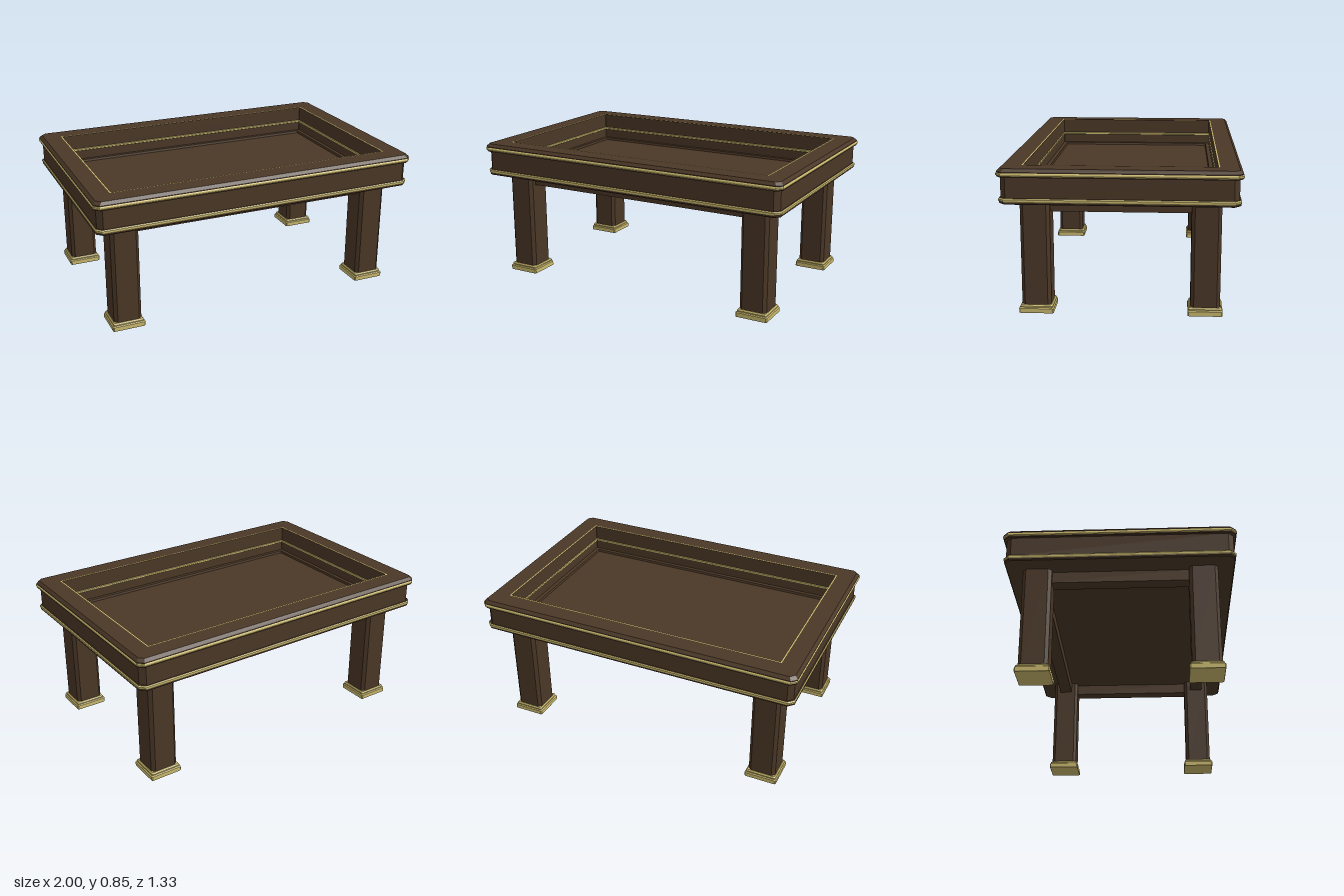
import * as THREE from 'three';

const wood = new THREE.MeshStandardMaterial({ color: 0x4a3726 });
wood.name = 'dark wood';
const brass = new THREE.MeshStandardMaterial({ color: 0xc9b86c });
brass.name = 'brass';

// Rectangle with cut corners, inset by m from half sizes hx, hz
function outline(hx, hz, [m, y, c]) {
  const x = hx - m, z = hz - m;
  return [
    [x, z - c], [x, c - z], [x - c, -z], [c - x, -z],
    [-x, c - z], [-x, z - c], [c - x, z], [x - c, z],
  ].map(([px, pz]) => [px, y, pz]);
}

// Joins layers [inset, height, corner cut] with flat faces; caps are optional
function loft(name, material, hx, hz, layers, capStart = false, capEnd = false) {
  const rings = layers.map((l) => outline(hx, hz, l));
  const pos = [];
  const tri = (a, b, c) => pos.push(...a, ...b, ...c);
  for (let k = 0; k < rings.length - 1; k++) {
    const a = rings[k], b = rings[k + 1];
    for (let i = 0; i < 8; i++) {
      const j = (i + 1) % 8;
      tri(a[i], a[j], b[j]);
      tri(a[i], b[j], b[i]);
    }
  }
  const first = rings[0], last = rings[rings.length - 1];
  for (let i = 1; i < 7; i++) {
    if (capStart) tri(first[0], first[i + 1], first[i]);
    if (capEnd) tri(last[0], last[i], last[i + 1]);
  }
  const geometry = new THREE.BufferGeometry();
  geometry.setAttribute('position', new THREE.Float32BufferAttribute(pos, 3));
  geometry.computeVertexNormals();
  const mesh = new THREE.Mesh(geometry, material);
  mesh.name = name;
  return mesh;
}

export function createModel() {
  const table = new THREE.Group();
  table.name = 'table';

  // Tabletop: one profile running up the outside, over the rim and down into the tray
  const top = new THREE.Group();
  top.name = 'tabletop';
  const c = 0.03, s = 0.001;
  const sections = [
    ['bottomMoulding', wood, [[0.018, 0.648, c], [0.012, 0.654, c], [0.012, 0.662, c]], true],
    ['lowerBrassBand', brass, [[0.012, 0.662, c], [0.009, 0.667, c], [0.009, 0.676, c], [0.014, 0.682, c]]],
    ['frieze', wood, [[0.014, 0.682, c], [0.02, 0.682, c], [0.02, 0.798, c], [0.006, 0.798, c], [0.003, 0.805, c]]],
    ['upperBrassBand', brass, [[0.003, 0.805, c], [0, 0.809, c], [0, 0.818, c], [0.003, 0.823, c]]],
    ['rim', wood, [[0.003, 0.823, c], [0.003, 0.828, c], [0.02, 0.845, 0.025], [0.125, 0.845, s]]],
    ['rimInlay', brass, [[0.125, 0.845, s], [0.134, 0.845, s]]],
    ['upperTrayWall', wood, [[0.134, 0.845, s], [0.134, 0.752, s]]],
    ['trayBrassBand', brass, [[0.134, 0.752, s], [0.139, 0.749, s], [0.139, 0.74, s], [0.134, 0.737, s]]],
    ['trayFloor', wood, [[0.134, 0.737, s], [0.134, 0.68, s], [0.158, 0.68, s], [0.161, 0.666, s]], false, true],
  ];
  for (const [name, material, layers, start, end] of sections) {
    top.add(loft(name, material, 1, 0.665, layers, start, end));
  }
  table.add(top);

  // Legs with cut corners on stepped brass feet
  const legX = 0.805, legZ = 0.474, half = 0.083;
  for (const sx of [-1, 1]) {
    for (const sz of [-1, 1]) {
      const leg = new THREE.Group();
      leg.name = (sz > 0 ? 'front' : 'back') + (sx > 0 ? 'Left' : 'Right') + 'Leg';
      leg.add(loft('post', wood, half, half, [[0, 0.04, 0.019], [0, 0.65, 0.019]]));
      leg.add(loft('foot', brass, 0.098, 0.098, [
        [0.002, 0, 0.006], [0, 0.003, 0.006], [0, 0.027, 0.006],
        [0.006, 0.032, 0.006], [0.006, 0.039, 0.006], [0.012, 0.047, 0.006],
      ], true, true));
      leg.position.set(sx * legX, 0, sz * legZ);
      table.add(leg);
    }
  }

  // Apron rails between the legs
  const rail = (name, w, d, x, z) => {
    const mesh = new THREE.Mesh(new THREE.BoxGeometry(w, 0.07, d), wood);
    mesh.name = name;
    mesh.position.set(x, 0.615, z);
    table.add(mesh);
  };
  const thick = 0.08;
  for (const side of [-1, 1]) {
    rail(side > 0 ? 'frontApron' : 'backApron', 2 * (legX - half) + 0.02, thick, 0, side * legZ);
    rail(side > 0 ? 'leftApron' : 'rightApron', thick, 2 * (legZ - half) + 0.02, side * legX, 0);
  }

  return table;
}
